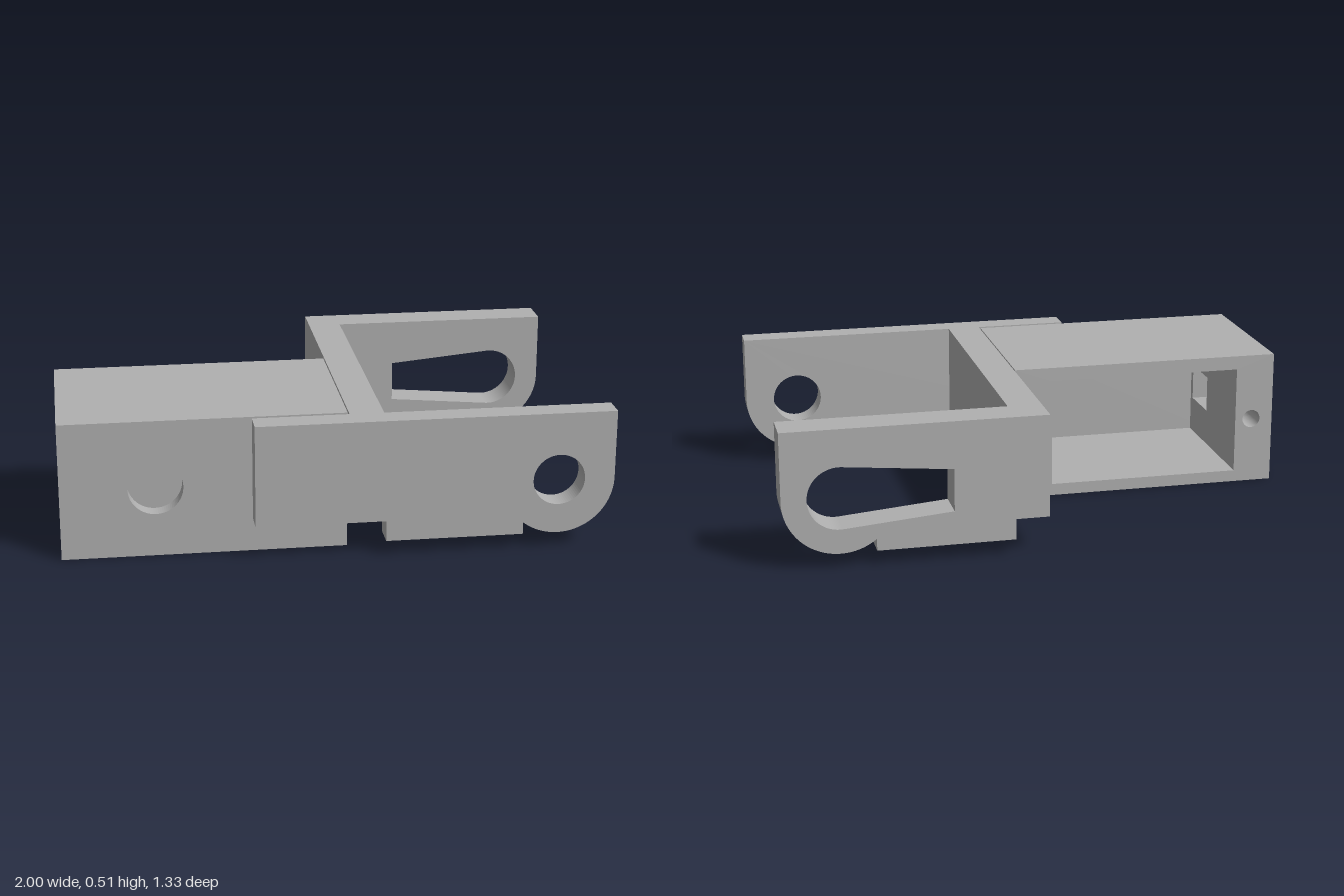
import * as THREE from 'three';

const grey = new THREE.MeshStandardMaterial({ color: 0xb0b0b0 });
grey.name = 'plain grey';

const TOP = 0.513;
const poly = (pts, Type = THREE.Shape) => new Type(pts.map(([x, y]) => new THREE.Vector2(x, y)));
const rect = (x0, y0, x1, y1, Type) => poly([[x0, y0], [x1, y0], [x1, y1], [x0, y1]], Type);
const circle = (x, y, r) => new THREE.Path().absarc(x, y, r, 0, Math.PI * 2, true);

// Extrudes a front-facing outline between two depths
function slab(name, shape, holes, z0, z1) {
  shape.holes.push(...holes);
  const geo = new THREE.ExtrudeGeometry(shape, { depth: z1 - z0, bevelEnabled: false, curveSegments: 40 });
  geo.translate(0, 0, z0);
  const mesh = new THREE.Mesh(geo, grey);
  mesh.name = name;
  return mesh;
}

// Arm outline: stepped underside, notch and rounded lower tip
function armShape(xStart) {
  const cx = 0.793, cy = 0.26, r = 0.205, xNotch = 0.665;
  const s = new THREE.Shape();
  s.moveTo(xStart, TOP);
  s.lineTo(xStart, 0.132);
  s.lineTo(0.162, 0.132);
  s.lineTo(0.162, 0.055);
  s.lineTo(xNotch, 0.055);
  s.absarc(cx, cy, r, -Math.PI + Math.acos((cx - xNotch) / r), 0, false);
  s.lineTo(cx + r, TOP);
  s.closePath();
  return s;
}

// Tapered slot with a round outer end
function keyhole() {
  const p = new THREE.Path();
  p.moveTo(0.386, 0.337);
  p.lineTo(0.386, 0.18);
  p.absarc(0.793, 0.26, 0.115, -Math.PI / 2 - 0.09, Math.PI / 2 + 0.09, false);
  p.closePath();
  return p;
}

export function createModel() {
  const model = new THREE.Group();
  model.name = 'bracket';

  // Housing: hollow box open at the back
  const housing = new THREE.Group();
  housing.name = 'housing';
  const [x0, x1, px0, px1, py0, py1] = [-1, 0.036, -0.85, -0.11, 0.045, 0.46];
  const outer = () => rect(x0, 0, x1, TOP);
  const pocket = () => rect(px0, py0, px1, py1, THREE.Path);
  // Outline broken through the end wall for the cable window
  const slotted = poly([
    [x0, 0], [x1, 0], [x1, TOP], [x0, TOP], [x0, 0.325], [px0, 0.325], [px0, py1],
    [px1, py1], [px1, py0], [px0, py0], [px0, 0.185], [x0, 0.185],
  ]);
  housing.add(
    slab('housingRearFrame', outer(), [pocket(), circle(-0.04, 0.255, 0.035), circle(-0.915, 0.255, 0.035)], -0.088, 0.27),
    slab('housingWindowFrame', slotted, [], 0.27, 0.455),
    slab('housingInnerFrame', outer(), [pocket()], 0.455, 0.48),
    slab('housingFrontWall', outer(), [], 0.48, 0.495),
    slab('housingFrontRecess', outer(), [circle(-0.657, 0.26, 0.1)], 0.495, 0.555),
  );

  // Fork: crossbar with two arms
  const fork = new THREE.Group();
  fork.name = 'fork';
  fork.add(
    slab('crossbar', rect(0.04, 0.132, 0.165, TOP), [], -0.534, 0.572),
    slab('frontArm', armShape(-0.31), [circle(0.793, 0.26, 0.095)], 0.572, 0.665),
    slab('backArm', armShape(0.04), [keyhole()], -0.667, -0.534),
  );

  model.add(housing, fork);
  return model;
}
